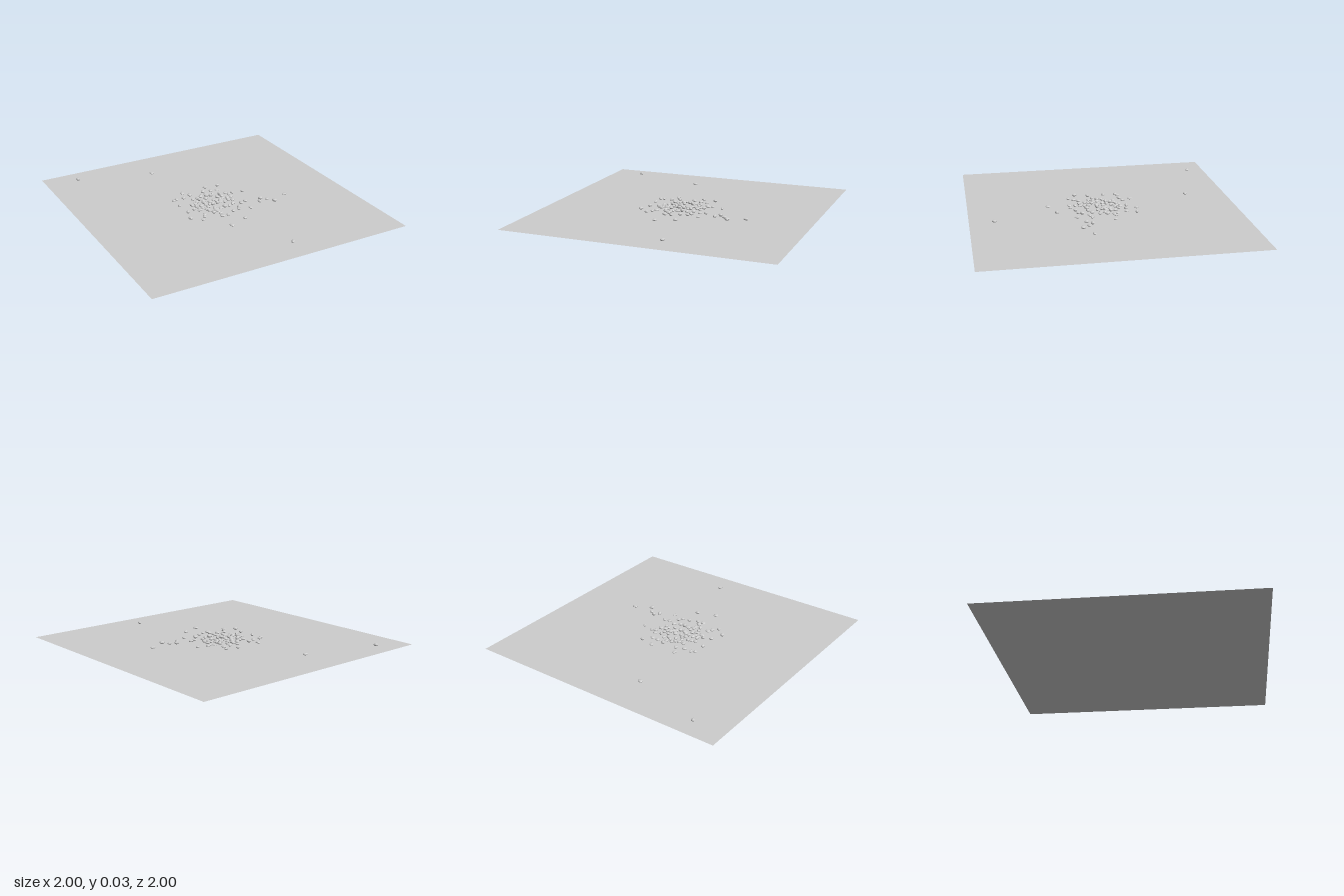
import * as THREE from 'three';

// Small repeatable random generator
function makeRandom(seed) {
  return () => {
    seed = (seed * 16807) % 2147483647;
    return seed / 2147483647;
  };
}

// Stray pebbles and the rim of the cluster, as [x, z]
const STRAYS = [
  [-0.75, -0.86], [-0.19, -0.69], [0.16, 0.82], [0.52, 0.15], [0.4, 0.21], [0.36, 0.16],
  [0.32, 0.13], [0.29, 0.17], [0.06, 0.35], [-0.08, 0.4], [0.27, -0.05], [0.18, 0.22],
  [-0.29, 0.17], [-0.22, 0.23], [-0.26, 0.07], [-0.27, -0.05], [-0.27, -0.15], [-0.24, -0.16],
  [-0.18, -0.16], [-0.15, -0.24], [-0.12, -0.18], [0.05, -0.25], [0.15, -0.23], [0, -0.18],
  [0.06, -0.17], [0.11, -0.16], [-0.02, 0.24], [-0.07, 0.24],
];

// Pebbles inside the cluster
const CLUSTER = [
  [-0.13, -0.1], [-0.09, -0.1], [-0.01, -0.11], [0.04, -0.11], [0.09, -0.08], [0.14, -0.09],
  [0.19, -0.07], [0.16, -0.06], [0.14, -0.01], [0.11, 0], [0.05, -0.05], [-0.04, -0.07],
  [-0.07, -0.04], [-0.15, -0.03], [-0.18, -0.02], [0, -0.02], [0.04, 0.01], [0.06, 0.05],
  [0, 0.04], [-0.06, 0.03], [-0.13, 0.02], [-0.16, 0.05], [-0.2, 0.05], [-0.17, 0.08],
  [-0.09, 0.07], [-0.05, 0.1], [0.02, 0.12], [0.06, 0.12], [0.1, 0.1], [0.13, 0.04],
  [0.2, 0.11], [0.16, 0.12], [0.11, 0.17], [0.09, 0.2], [0.04, 0.21], [-0.06, 0.2],
  [-0.1, 0.16], [-0.17, 0.16], [-0.19, 0.19], [-0.06, 0.16],
];

// Faceted pebble: a ball stretched by a few smooth waves, with flat normals
function pebbleGeometry(random) {
  const geometry = new THREE.IcosahedronGeometry(1, 1);
  const position = geometry.attributes.position;
  const [a, b, c] = [random() * 6.28, random() * 6.28, random() * 6.28];
  const v = new THREE.Vector3();
  for (let i = 0; i < position.count; i++) {
    v.fromBufferAttribute(position, i);
    const bump = 1 + 0.12 * Math.sin(2.3 * v.x + a) + 0.1 * Math.sin(3.1 * v.z + b)
      + 0.08 * Math.sin(2.7 * v.y + c);
    v.multiplyScalar(bump);
    position.setXYZ(i, v.x, v.y, v.z);
  }
  geometry.computeVertexNormals();
  return geometry;
}

export function createModel() {
  const model = new THREE.Group();
  model.name = 'pebblesOnGround';
  const random = makeRandom(4271);
  const stone = new THREE.MeshStandardMaterial({ color: 0xcccccc });
  stone.name = 'stone grey';
  const groundGrey = new THREE.MeshStandardMaterial({ color: 0xcccccc, side: THREE.DoubleSide });
  groundGrey.name = 'ground grey';

  // Flat square ground
  const ground = new THREE.Mesh(new THREE.PlaneGeometry(2, 2).rotateX(-Math.PI / 2), groundGrey);
  ground.name = 'ground';
  model.add(ground);

  // Extra pebbles that fill the dense middle
  const spots = [...STRAYS, ...CLUSTER];
  for (let tries = 0, added = 0; tries < 500 && added < 22; tries++) {
    const angle = random() * Math.PI * 2;
    const reach = 0.15 * Math.sqrt(random());
    const spot = [-0.03 + reach * Math.cos(angle), reach * Math.sin(angle)];
    if (spots.every(([x, z]) => Math.hypot(x - spot[0], z - spot[1]) > 0.024)) {
      spots.push(spot);
      added++;
    }
  }

  // Pebbles in a handful of shapes, each turned and sized differently
  const shapes = Array.from({ length: 8 }, () => pebbleGeometry(random));
  const pebbles = new THREE.Group();
  pebbles.name = 'pebbles';
  spots.forEach(([x, z], i) => {
    const pebble = new THREE.Mesh(shapes[i % shapes.length], stone);
    const size = 0.015 + 0.005 * random();
    const height = 0.008 + 0.003 * random();
    pebble.name = 'pebble';
    pebble.scale.set(size, height, size * (0.65 + 0.25 * random()));
    pebble.rotation.y = random() * Math.PI * 2;
    // Rest the lowest point just above the ground
    pebble.geometry.computeBoundingBox();
    pebble.position.set(x, 0.003 - pebble.geometry.boundingBox.min.y * height, z);
    pebbles.add(pebble);
  });
  model.add(pebbles);
  return model;
}
